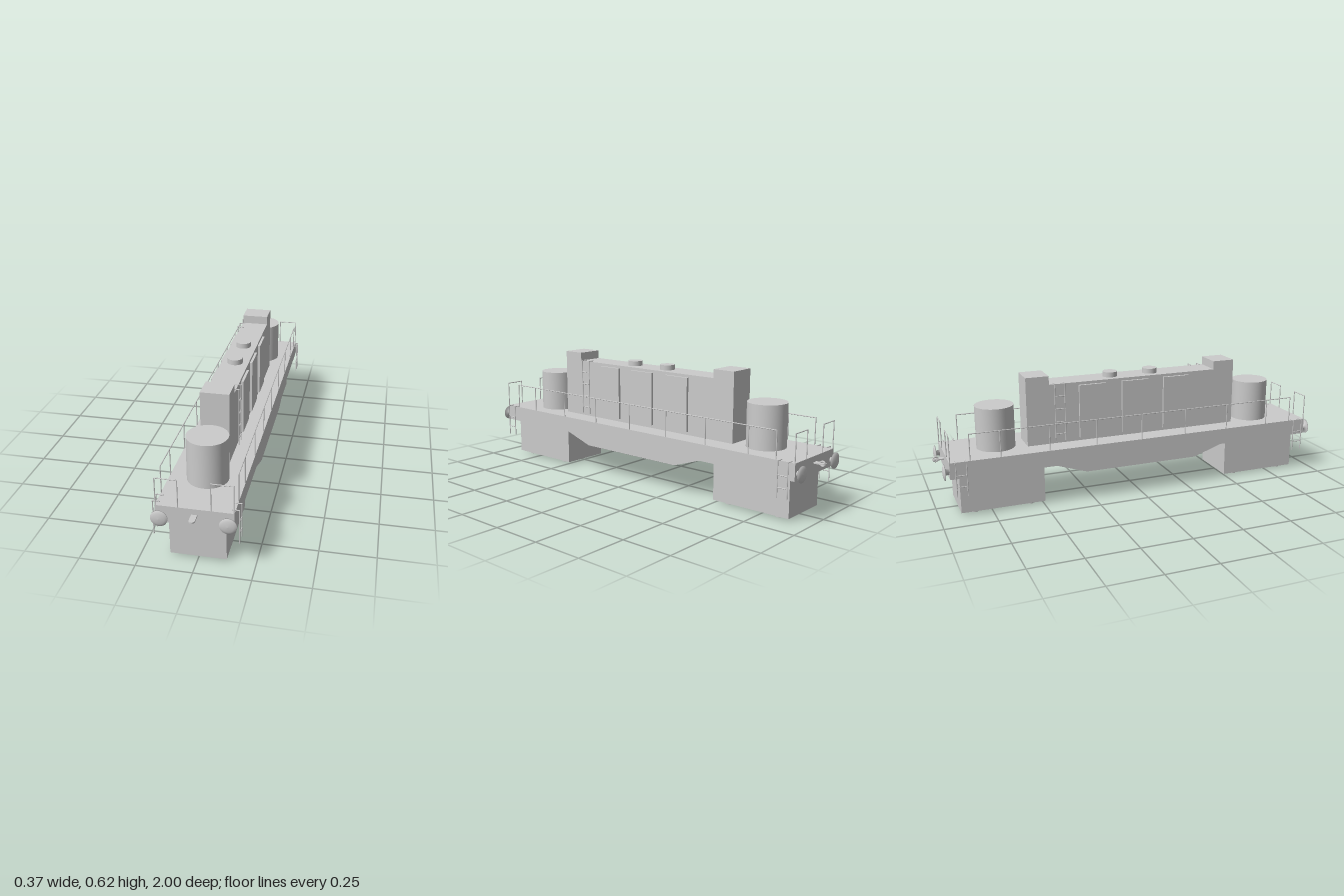
import * as THREE from 'three';

const material = new THREE.MeshStandardMaterial({ color: 0xcccccc });

function add(parent, name, geometry, x = 0, y = 0, z = 0) {
  const mesh = new THREE.Mesh(geometry, material);
  mesh.name = name;
  mesh.position.set(x, y, z);
  parent.add(mesh);
  return mesh;
}

// Box given by its low and high corners
function block(parent, name, [x0, y0, z0], [x1, y1, z1]) {
  return add(parent, name, new THREE.BoxGeometry(x1 - x0, y1 - y0, z1 - z0),
    (x0 + x1) / 2, (y0 + y1) / 2, (z0 + z1) / 2);
}

// Upright cylinder standing on height y
function drum(parent, name, r, h, x, y, z, sides = 32) {
  return add(parent, name, new THREE.CylinderGeometry(r, r, h, sides), x, y + h / 2, z);
}

// Chain of thin round bars through a list of points
function rods(parent, name, points, r = 0.0025) {
  const v = points.map((p) => new THREE.Vector3(...p));
  for (let i = 1; i < v.length; i++) {
    const dir = v[i].clone().sub(v[i - 1]);
    const length = dir.length();
    const bar = add(parent, name, new THREE.CylinderGeometry(r, r, length + r, 8));
    bar.position.copy(v[i]).add(v[i - 1]).multiplyScalar(0.5);
    bar.quaternion.setFromUnitVectors(new THREE.Vector3(0, 1, 0), dir.normalize());
  }
}

// Two hooked rails with rungs; side is +1 or -1 along x
function ladder(parent, name, side, xIn, xOut, yLow, yTop, z, rungs) {
  const g = new THREE.Group();
  g.name = name;
  for (const dz of [-0.025, 0.025]) {
    rods(g, 'ladderRail', [[side * xIn, yTop, z + dz], [side * xOut, yTop, z + dz], [side * xOut, yLow, z + dz]]);
  }
  for (const y of rungs) {
    rods(g, 'ladderRung', [[side * xOut, y, z - 0.025], [side * xOut, y, z + 0.025]]);
  }
  parent.add(g);
}

function createModel() {
  const model = new THREE.Group();
  model.name = 'locomotive';

  // Frame: side profile with a deeper belly, extruded across the width
  const profile = [[-0.945, 0.2], [-0.44, 0.2], [-0.29, 0.15], [0.29, 0.15], [0.44, 0.2],
    [0.945, 0.2], [0.945, 0.28], [-0.945, 0.28]];
  const frame = new THREE.ExtrudeGeometry(
    new THREE.Shape(profile.map(([z, y]) => new THREE.Vector2(z, y))),
    { depth: 0.336, bevelEnabled: false });
  frame.translate(0, 0, -0.168).rotateY(-Math.PI / 2);
  add(model, 'frame', frame);

  // Hood, side doors and roof vents
  block(model, 'hood', [-0.066, 0.28, -0.44], [0.066, 0.575, 0.44]);
  for (const z of [-0.223, 0, 0.223]) {
    block(model, 'hoodDoors', [-0.078, 0.296, z - 0.069], [0.078, 0.561, z + 0.069]);
  }
  for (const z of [-0.107, 0.107]) drum(model, 'roofVent', 0.037, 0.025, 0, 0.575, z);

  // Ladders on diagonally opposite sides of the hood
  for (const s of [-1, 1]) {
    ladder(model, 'hoodLadder', s, 0.05, 0.081, 0.296, 0.579, s * 0.391, [0.33, 0.39, 0.455, 0.518]);
  }

  // Domed buffer head and stem, turned about its axis
  const bufferProfile = [[0, 0], [0.013, 0], [0.013, 0.018], [0.037, 0.02], [0.037, 0.024],
    [0.025, 0.028], [0.012, 0.03], [0, 0.031]].map(([r, h]) => new THREE.Vector2(r, h));

  for (const end of [1, -1]) {
    const g = new THREE.Group();
    g.name = end > 0 ? 'frontEnd' : 'rearEnd';
    model.add(g);

    // Tower, tank and bogie block with feet
    block(g, 'hoodTower', [-0.066, 0.28, end * 0.497 - 0.057], [0.066, 0.617, end * 0.497 + 0.057]);
    drum(g, 'tank', 0.093, 0.208, 0, 0.28, end * 0.695, 48);
    block(g, 'bogie', [-0.124, 0.011, end * 0.695 - 0.203], [0.124, 0.201, end * 0.695 + 0.203]);

    for (const s of [-1, 1]) {
      for (const z of [0.56, 0.83]) drum(g, 'bogieFoot', 0.018, 0.012, s * 0.089, 0, end * z, 24);

      const buffer = add(g, 'buffer', new THREE.LatheGeometry(bufferProfile, 32), s * 0.145, 0.231, end * 0.944);
      buffer.rotation.x = end * Math.PI / 2;

      // End handrail and corner steps
      rods(g, 'endRail', [[s * 0.07, 0.28, end * 0.942], [s * 0.07, 0.408, end * 0.942],
        [s * 0.165, 0.408, end * 0.942], [s * 0.165, 0.28, end * 0.942]]);
      ladder(g, 'cornerSteps', s, 0.153, 0.184, 0.12, 0.282, end * 0.895, [0.165, 0.22]);
    }

    // Coupler: flat tongue with a rounded tip
    block(g, 'couplerTongue', [-0.013, 0.247, end * 0.963 - 0.023], [0.013, 0.253, end * 0.963 + 0.023]);
    drum(g, 'couplerTip', 0.013, 0.006, 0, 0.247, end * 0.987, 20);
  }

  // Upright link on the rear coupler
  const link = add(model, 'couplerLink', new THREE.TorusGeometry(0.011, 0.004, 8, 20), 0, 0.25, -0.983);
  link.rotation.y = Math.PI / 2;

  // Side handrails
  for (const s of [-1, 1]) {
    const x = s * 0.166;
    rods(model, 'sideRail', [[x, 0.408, -0.85], [x, 0.408, 0.85]]);
    for (const z of [0, 0.236, 0.472, 0.707, 0.85]) {
      for (const e of z ? [-1, 1] : [1]) rods(model, 'sideRailPost', [[x, 0.28, e * z], [x, 0.408, e * z]]);
    }
  }
  return model;
}

export { createModel };
